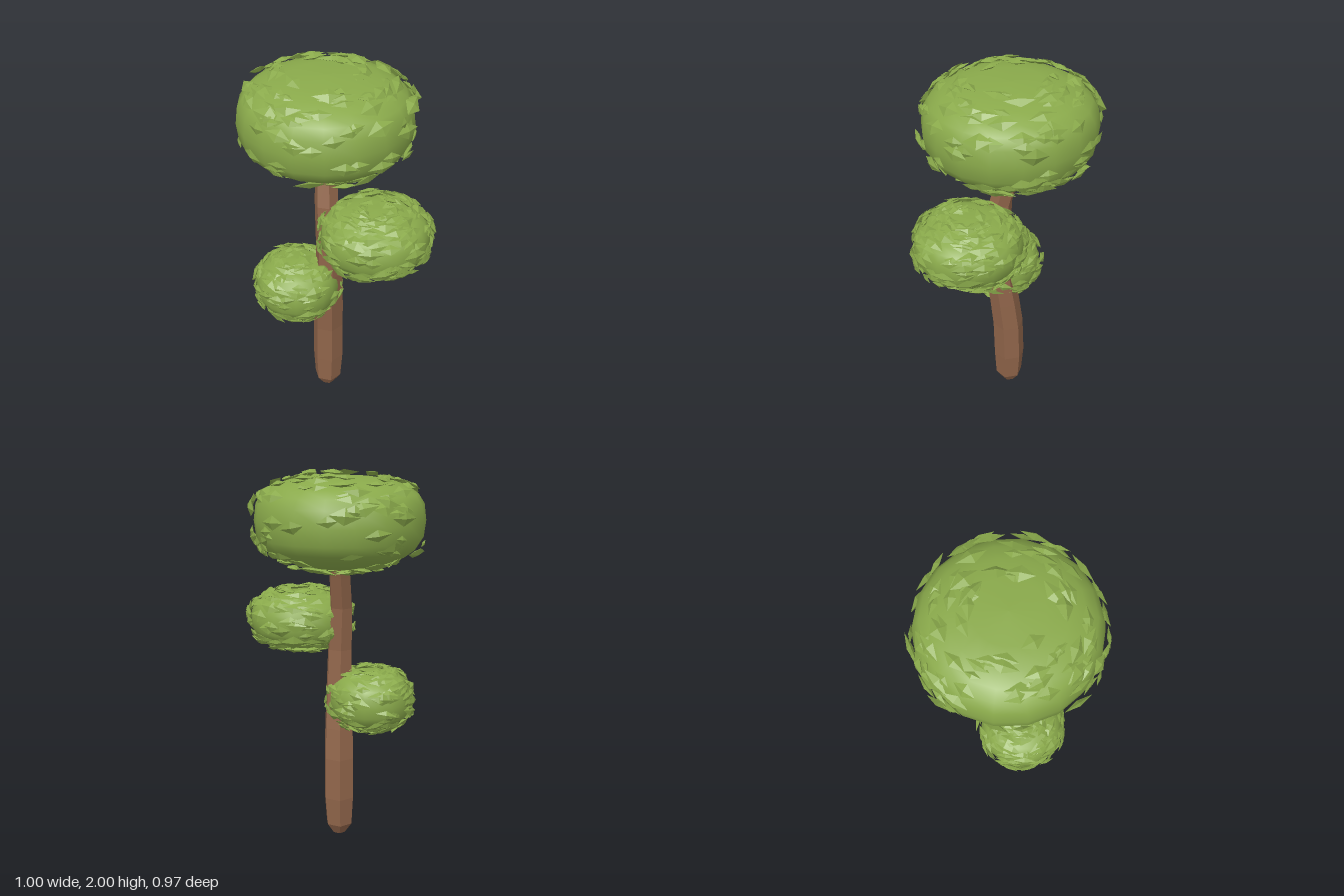
import * as THREE from 'three';
import { mergeGeometries } from 'three/addons/utils/BufferGeometryUtils.js';

const bark = new THREE.MeshStandardMaterial({ color: 0x90654a });
bark.name = 'bark brown';
const foliage = new THREE.MeshStandardMaterial({ color: 0x8aaa4b });
foliage.name = 'foliage green';

let seed = 7;
function rand(a, b) {
  seed = (seed * 16807) % 2147483647;
  return a + (b - a) * (seed / 2147483647);
}

// Trunk stations: [y, centre x, centre z, radius]
const stations = [
  [0, -0.05, -0.01, 0.035], [0.06, -0.05, -0.01, 0.076], [0.22, -0.048, -0.012, 0.087],
  [0.45, -0.046, -0.005, 0.086], [0.62, -0.043, 0.014, 0.083], [0.85, -0.038, 0.045, 0.075],
  [1.05, -0.04, 0.053, 0.07], [1.28, -0.05, 0.036, 0.063], [1.45, -0.05, -0.01, 0.06],
  [1.6, -0.05, -0.055, 0.058],
];

// Faceted tapering trunk with a gentle bend
function makeTrunk() {
  const n = stations.length - 1;
  const geo = new THREE.CylinderGeometry(1, 1, n, 6, n, false, Math.PI / 12).toNonIndexed();
  const p = geo.attributes.position;
  for (let i = 0; i < p.count; i++) {
    const [y, cx, cz, r] = stations[Math.round(p.getY(i) + n / 2)];
    p.setXYZ(i, cx + p.getX(i) * r, y, cz + p.getZ(i) * r);
  }
  geo.computeVertexNormals();
  const mesh = new THREE.Mesh(geo, bark);
  mesh.name = 'trunk';
  return mesh;
}

// Rounded, flattened outline: t runs from -PI/2 (bottom) to PI/2 (top).
// The underside sags a little towards the middle.
function outline(t, { R, H, power, sag }) {
  const c = Math.pow(Math.max(Math.cos(t), 0), 2 / power), s = Math.sin(t);
  const drop = s < 0 ? sag * (1 - c) ** 2 : 0;
  return new THREE.Vector2(R * c, H * Math.sign(s) * Math.pow(Math.abs(s), 2 / power) - drop);
}

// Foliage cushion covered with small diamond leaves
function makeCluster(spec) {
  const { name, at, R, H, power, leaves, low, high, size } = spec;
  const group = new THREE.Group();
  group.name = name;
  group.position.set(...at);

  const profile = [];
  for (let i = 0; i <= 12; i++) profile.push(outline(-Math.PI / 2 + (i * Math.PI) / 12, spec));
  const body = new THREE.Mesh(new THREE.LatheGeometry(profile, 18), foliage);
  body.name = 'cushion';
  group.add(body);

  const up = new THREE.Vector3(0, 1, 0);
  const parts = [];
  for (let i = 0; i < leaves; i++) {
    const t = rand(low, high), a = rand(0, Math.PI * 2);
    const q = outline(t, spec);
    const nr = Math.pow(q.x / R, power - 1) / R;
    const ny = (Math.sign(q.y) * Math.pow(Math.abs(q.y) / H, power - 1)) / H;
    const normal = new THREE.Vector3(nr * Math.sin(a), ny, nr * Math.cos(a)).normalize();
    const along = new THREE.Vector3().crossVectors(up, normal).normalize();
    const across = new THREE.Vector3().crossVectors(normal, along);
    const m = new THREE.Matrix4().makeBasis(along, across, normal);
    // Turn and tilt each leaf a little away from the surface
    m.multiply(new THREE.Matrix4().makeRotationFromEuler(
      new THREE.Euler(rand(-0.3, 0.3), rand(-0.2, 0.2), rand(-0.25, 0.25))));
    m.setPosition(new THREE.Vector3(q.x * Math.sin(a), q.y, q.x * Math.cos(a))
      .addScaledVector(normal, rand(0.002, 0.02)));
    const s = size * rand(0.7, 1.3);
    parts.push(new THREE.OctahedronGeometry(1).scale(s, s * rand(0.4, 0.6), s * 0.2).applyMatrix4(m));
  }
  const leafMesh = new THREE.Mesh(mergeGeometries(parts), foliage);
  leafMesh.name = 'leaves';
  group.add(leafMesh);
  return group;
}

export function createModel() {
  const tree = new THREE.Group();
  tree.name = 'tree';
  tree.add(makeTrunk());
  const clusters = [
    { name: 'crown', at: [-0.05, 1.747, -0.015], R: 0.443, H: 0.223, power: 2.8, sag: 0.04,
      leaves: 190, low: -1.54, high: 1.34, size: 0.062 },
    { name: 'middleCluster', at: [0.2, 1.185, 0.185], R: 0.28, H: 0.15, power: 2.6, sag: 0.015,
      leaves: 260, low: -1.5, high: 1.45, size: 0.055 },
    { name: 'lowerCluster', at: [-0.21, 0.78, 0.05], R: 0.224, H: 0.155, power: 2.5, sag: 0.01,
      leaves: 240, low: -1.5, high: 1.45, size: 0.05 },
  ];
  for (const c of clusters) tree.add(makeCluster(c));
  return tree;
}
